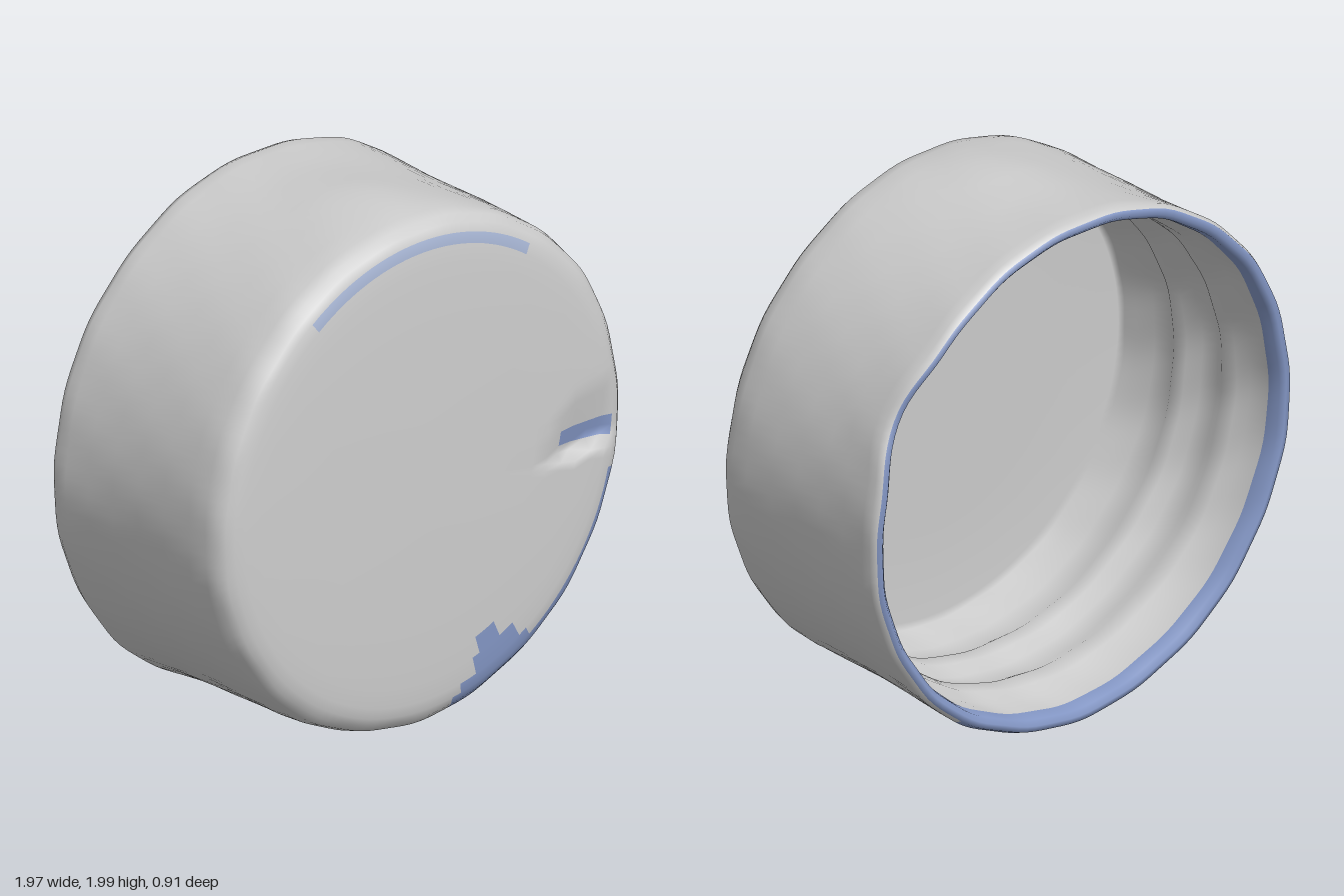
import * as THREE from 'three';

// Cross-section (radius, z): front face, outer wall, rim, threaded inner wall, floor
const PROFILE = [
  [0, 0.448], [0.3, 0.447], [0.5, 0.444], [0.57, 0.443], [0.64, 0.441], [0.71, 0.439], [0.78, 0.436],
  [0.85, 0.432], [0.89, 0.424], [0.92, 0.41], [0.945, 0.385], [0.957, 0.34], [0.963, 0.26],
  [0.964, 0.13], [0.965, 0], [0.967, -0.13], [0.972, -0.25], [0.98, -0.36], [0.983, -0.405],
  [0.972, -0.432], [0.95, -0.437], [0.932, -0.42], [0.925, -0.37], [0.922, -0.26],
  [0.895, -0.22], [0.89, -0.15], [0.918, -0.1], [0.915, -0.02], [0.885, 0.03], [0.88, 0.09],
  [0.905, 0.13], [0.9, 0.21], [0.875, 0.26], [0.87, 0.315], [0.855, 0.335], [0.5, 0.335], [0, 0.335],
];
const FACE_END = 11, RIM_START = 18, RIM_END = 22, FLOOR_START = 33;
const SEGMENTS = 144;
const DEG = Math.PI / 180;
const bell = (v, centre, width) => Math.exp(-(((v - centre) / width) ** 2));

// Turns a profile point into a slightly irregular, hand-worn surface point
function surfacePoint(i, a) {
  let [r, z] = PROFILE[i];

  // Uneven moulding and a raised patch on top
  if (r > 0.86 && i > 8) {
    r += 0.002 * Math.sin(9 * a + 7 * z) + 0.002 * Math.sin(23 * a - 15 * z);
    if (i < RIM_START) r += 0.023 * bell(a, 92 * DEG, 0.2) * bell(z, 0.1, 0.17);
  }
  // Threads drift along the axis around the inner wall
  if (i > RIM_END && i < FLOOR_START - 1) z += 0.02 * Math.sin(a + 1);

  // Worn dip in the back rim
  if (i >= RIM_START - 2 && i <= RIM_END + 1) z += 0.045 * bell(a, 28 * DEG, 0.19);

  const x = r * Math.cos(a);
  const y = r * Math.sin(a) * 1.003;

  // Shallow wedge-shaped dent near the edge of the front face
  if (i < FACE_END) {
    const s = THREE.MathUtils.smoothstep(x, 0.5, 0.72);
    const t = (y + 0.13) / (0.06 + 0.18 * s);
    const fade = 1 - THREE.MathUtils.smoothstep(r, 0.84, 0.92);
    if (t >= 0 && t < 1) z -= 0.045 * s * (1 - t) * fade;
  }
  // The whole cap leans very slightly
  return [x, y + 1 + 0.025 * z, z - 0.022 * y];
}

// Which part a patch of the surface belongs to
function partOf(i, deg) {
  if (i > RIM_START && i < RIM_END) return 'rim';
  if (i >= 16 && i <= RIM_START && deg > 278 && deg < 305) return 'outerWallStain';
  if (i < 10) {
    // Stains on the front edge widen and taper along their length
    const spread = 7.6 - 3 * bell(deg, 292, 9);
    if (deg > 278 && deg < 344 && i >= spread) return 'lowerEdgeStain';
    if (i > 3 && i < 8 && deg > 352 && deg < 357) return 'dentStain';
    if (deg > 55 && deg < 125 && i === 7) return 'upperEdgeStain';
  }
  if (i < FACE_END) return 'frontFace';
  if (i <= RIM_START) return 'outerWall';
  return i < FLOOR_START ? 'threadedInnerWall' : 'innerFloor';
}

export function createModel() {
  const group = new THREE.Group();
  group.name = 'cap';

  const points = [];
  const parts = {};
  PROFILE.forEach((_, i) => {
    for (let j = 0; j < SEGMENTS; j++) {
      points.push(...surfacePoint(i, (j / SEGMENTS) * Math.PI * 2));
    }
  });
  for (let i = 0; i < PROFILE.length - 1; i++) {
    for (let j = 0; j < SEGMENTS; j++) {
      const k = (j + 1) % SEGMENTS;
      const a = i * SEGMENTS + j, b = a + SEGMENTS;
      const d = i * SEGMENTS + k, c = d + SEGMENTS;
      const list = (parts[partOf(i, ((j + 0.5) / SEGMENTS) * 360)] ??= []);
      list.push(a, b, c, a, c, d);
    }
  }

  // Smooth normals over the whole shell, shared by all its parts
  const shell = new THREE.BufferGeometry();
  shell.setAttribute('position', new THREE.Float32BufferAttribute(points, 3));
  shell.setIndex(Object.values(parts).flat());
  shell.computeVertexNormals();

  const grey = new THREE.MeshStandardMaterial({ color: 0xcccccc });
  const blue = new THREE.MeshStandardMaterial({ color: 0x8396c4 });
  const paleBlue = new THREE.MeshStandardMaterial({ color: 0xa4b2d0 });
  const materials = {
    rim: blue, lowerEdgeStain: blue, outerWallStain: blue, dentStain: blue, upperEdgeStain: paleBlue,
  };
  for (const [name, index] of Object.entries(parts)) {
    const geometry = new THREE.BufferGeometry();
    geometry.setAttribute('position', shell.getAttribute('position'));
    geometry.setAttribute('normal', shell.getAttribute('normal'));
    geometry.setIndex(index);
    const mesh = new THREE.Mesh(geometry, materials[name] ?? grey);
    mesh.name = name;
    group.add(mesh);
  }

  // Pointed lump on the floor, leaning against the inner wall
  const lump = new THREE.Mesh(new THREE.ConeGeometry(0.15, 0.22, 9), grey);
  lump.name = 'innerLump';
  const angle = 122 * DEG;
  lump.position.set(0.8 * Math.cos(angle), 1 + 0.8 * Math.sin(angle), 0.22);
  lump.rotation.set(-Math.PI / 2, 0, 0.35);
  group.add(lump);

  return group;
}
